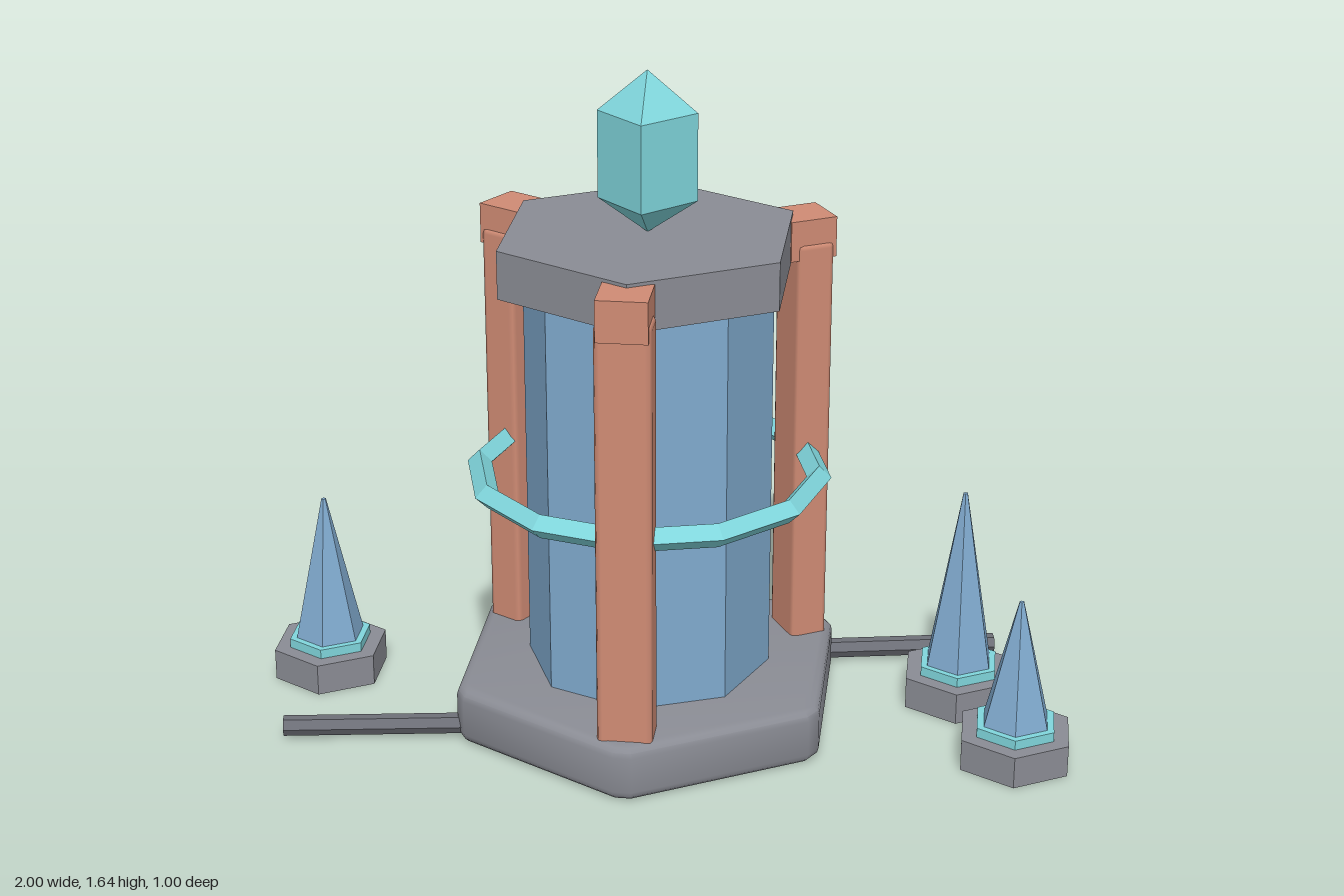
import * as THREE from 'three';
import { toCreasedNormals } from 'three/addons/utils/BufferGeometryUtils.js';
import { RoundedBoxGeometry } from 'three/addons/geometries/RoundedBoxGeometry.js';

const material = (name, color, flat = true) => {
  const m = new THREE.MeshStandardMaterial({ color, flatShading: flat });
  m.name = name;
  return m;
};

export function createModel() {
  const stone = material('grey stone', 0x8a8c94, false);
  const iron = material('dark pipe metal', 0x6e7078, false);
  const copper = material('copper', 0xcf8b74, false);
  const glass = material('blue glass', 0x80aace, false);
  const glow = material('cyan glow', 0x80d6dc, false);

  const model = new THREE.Group();
  model.name = 'crystalTower';

  const add = (parent, name, geometry, mat, x = 0, y = 0, z = 0) => {
    const mesh = new THREE.Mesh(geometry, mat);
    mesh.name = name;
    mesh.position.set(x, y, z);
    parent.add(mesh);
    return mesh;
  };
  // Faceted prism or frustum standing on its base, one corner facing +z
  const prism = (rTop, rBottom, height, sides) =>
    toCreasedNormals(new THREE.CylinderGeometry(rTop, rBottom, height, sides).translate(0, height / 2, 0), 0.1);

  const tower = new THREE.Group();
  tower.name = 'tower';
  tower.position.x = -0.04;
  model.add(tower);

  // Base slab: hexagon with trimmed corners and rounded rims
  const corner = (i) => new THREE.Vector2(Math.sin(i * Math.PI / 3), Math.cos(i * Math.PI / 3)).multiplyScalar(0.511);
  const outline = [];
  for (let i = 0; i < 6; i++) {
    outline.push(corner(i).lerp(corner(i - 1), 0.05), corner(i).lerp(corner(i + 1), 0.05));
  }
  const rim = 0.025;
  const slab = new THREE.ExtrudeGeometry(new THREE.Shape(outline), {
    depth: 0.14 - 2 * rim, bevelEnabled: true, bevelSize: rim, bevelThickness: rim,
    bevelOffset: -rim, bevelSegments: 3,
  }).rotateX(-Math.PI / 2).translate(0, rim, 0);
  add(tower, 'baseSlab', toCreasedNormals(slab, 0.6), stone);

  // Core and roof
  add(tower, 'core', prism(0.3, 0.3, 1.03, 8), glass, 0, 0.12, 0);
  add(tower, 'roofSlab', prism(0.378, 0.378, 0.118, 6), stone, 0, 1.13, 0);

  // Three struts with caps
  for (let i = 0; i < 3; i++) {
    const strut = new THREE.Group();
    strut.name = 'strut' + (i + 1);
    strut.rotation.y = i * Math.PI * 2 / 3;
    add(strut, 'column', new RoundedBoxGeometry(0.132, 1.06, 0.096, 1, 0.014), copper, 0, 0.65, 0.412);
    add(strut, 'cap', new THREE.BoxGeometry(0.12, 0.1, 0.12), copper, 0, 1.19, 0.406);
    tower.add(strut);
  }

  // Diamond-section energy ring
  const ring = new THREE.TorusGeometry(0.415, 0.03, 4, 12).rotateX(Math.PI / 2);
  add(tower, 'ring', toCreasedNormals(ring, 0.1), glow, 0, 0.638, 0);

  // Four-sided crystal
  const profile = [[0, 1.245], [0.118, 1.325], [0.118, 1.537], [0, 1.637]].map(([r, y]) => new THREE.Vector2(r, y));
  add(tower, 'crystal', toCreasedNormals(new THREE.LatheGeometry(profile, 4), 0.1), glow);

  // Pylons: x, z, spike tip height
  [[-0.873, -0.083, 0.477], [0.728, -0.123, 0.56], [0.872, 0.177, 0.42]].forEach(([x, z, tip], i) => {
    const pylon = new THREE.Group();
    pylon.name = 'pylon' + (i + 1);
    pylon.position.set(x, 0, z);
    add(pylon, 'foot', prism(0.147, 0.147, 0.08, 6), stone);
    add(pylon, 'collar', prism(0.106, 0.106, 0.025, 6), glow, 0, 0.079, 0);
    add(pylon, 'spike', prism(0.006, 0.092, tip - 0.085, 6), glass, 0, 0.085, 0);
    model.add(pylon);
  });

  // Pipes running out of the base, given by inner and outer ends
  [[-0.3, 0.196, -0.905, 0.289], [0.25, -0.257, 0.815, -0.365]].forEach(([x0, z0, x1, z1], i) => {
    const a = new THREE.Vector3(x0, 0.032, z0), b = new THREE.Vector3(x1, 0.032, z1);
    const geometry = toCreasedNormals(new THREE.CylinderGeometry(0.025, 0.025, a.distanceTo(b), 6), 0.1)
      .rotateY(Math.PI / 6).rotateX(Math.PI / 2);
    const pipe = add(model, 'pipe' + (i + 1), geometry, iron);
    pipe.position.copy(a).lerp(b, 0.5);
    pipe.lookAt(b);
  });

  // Flat facets come from creased normals, so shading stays per geometry
  return model;
}
